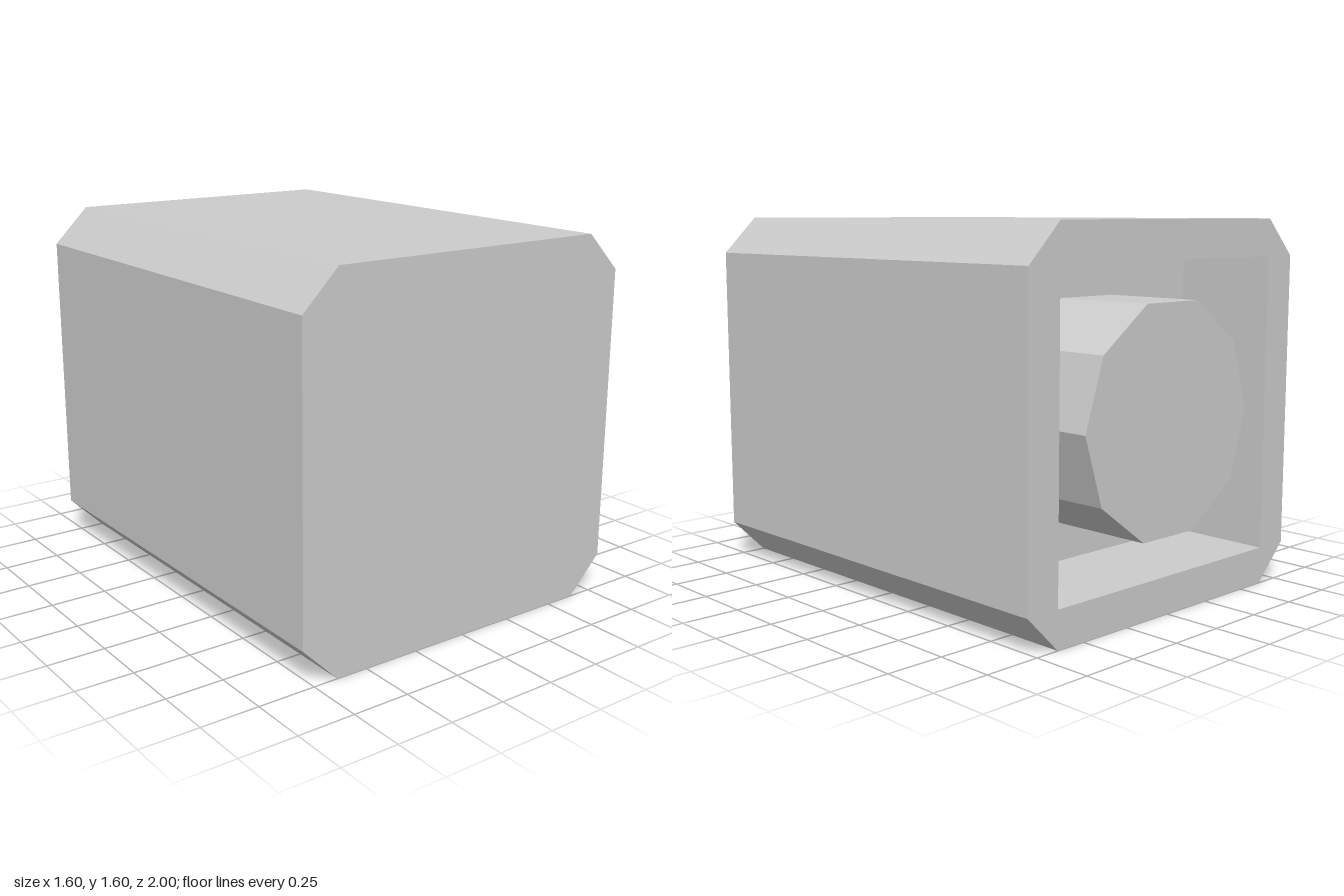
import * as THREE from 'three';

const HALF = 0.8, INNER = 0.64, FLOOR_Z = -0.54;

// Chamfered square, counter-clockwise seen from the front; c = half length of the flat sides.
function ring(h, c, z) {
  return [[h, -c], [h, c], [c, h], [-c, h], [-h, c], [-h, -c], [-c, -h], [c, -h]]
    .map(([x, y]) => new THREE.Vector3(x, y + HALF, z));
}

// Joins successive rings with flat faces, leaving out collapsed triangles.
function loft(rings) {
  const points = [];
  const addTriangle = (...corners) => {
    if (new THREE.Triangle(...corners).getArea() > 1e-6) points.push(...corners);
  };
  for (let i = 0; i < rings.length - 1; i++) {
    const [r, s] = [rings[i], rings[i + 1]];
    for (let k = 0; k < r.length; k++) {
      const n = (k + 1) % r.length;
      addTriangle(r[k], s[k], s[n]);
      addTriangle(r[k], s[n], r[n]);
    }
  }
  const geometry = new THREE.BufferGeometry().setFromPoints(points);
  geometry.computeVertexNormals();
  return geometry;
}

export function createModel() {
  const group = new THREE.Group();
  group.name = 'housingWithCore';
  const material = new THREE.MeshStandardMaterial({ color: 0xcccccc, flatShading: true });

  // Chamfered housing: closed front, outer walls, rear rim, square recess and its floor
  const housing = new THREE.Mesh(loft([
    ring(0, 0, 1),
    ring(HALF, INNER, 1),
    ring(HALF, INNER, -1),
    ring(INNER, INNER, -1),
    ring(INNER, INNER, FLOOR_Z),
    ring(0, 0, FLOOR_Z),
  ]), material);
  housing.name = 'housing';
  group.add(housing);

  // Ten-sided core standing in the recess, flush with the rear rim
  const coreLength = FLOOR_Z + 1;
  const coreGeometry = new THREE.CylinderGeometry(0.5, 0.5, coreLength, 10, 1, false, Math.PI / 2);
  coreGeometry.rotateX(Math.PI / 2);
  const core = new THREE.Mesh(coreGeometry, material);
  core.name = 'core';
  core.position.set(0, HALF, -1 + coreLength / 2);
  group.add(core);

  return group;
}
